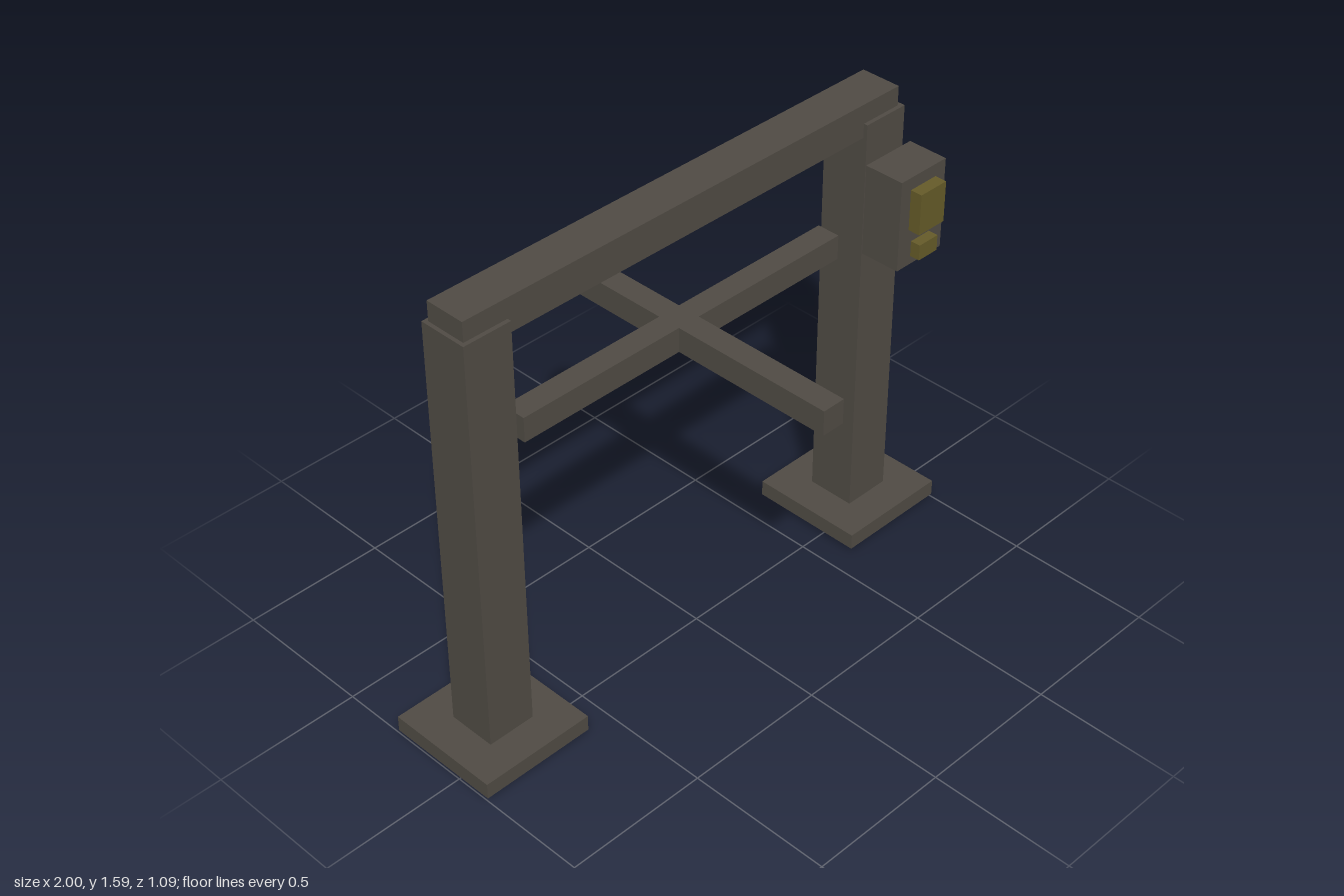
import * as THREE from 'three';

export function createModel() {
  const model = new THREE.Group();
  model.name = 'gateFrame';
  const steel = new THREE.MeshStandardMaterial({ color: 0x504b44 });
  steel.name = 'dark steel';
  const yellow = new THREE.MeshStandardMaterial({ color: 0x655b29 });
  yellow.name = 'dull yellow';

  // Box given by its extents on each axis
  const box = (name, material, [x0, x1], [y0, y1], [z0, z1]) => {
    const mesh = new THREE.Mesh(new THREE.BoxGeometry(x1 - x0, y1 - y0, z1 - z0), material);
    mesh.position.set((x0 + x1) / 2, (y0 + y1) / 2, (z0 + z1) / 2);
    mesh.name = name;
    model.add(mesh);
  };

  // Posts standing through square foot plates
  for (const [side, s] of [['left', 1], ['right', -1]]) {
    const span = (a, b) => (s > 0 ? [a, b] : [-b, -a]);
    box(side + 'Post', steel, span(0.713, 0.882), [0, 1.523], [-0.157, 0.012]);
    box(side + 'FootPlate', steel, span(0.595, 1), [0.011, 0.067], [-0.276, 0.129]);
  }

  // Top beam
  box('topBeam', steel, [-0.869, 0.866], [1.474, 1.59], [-0.144, -0.002]);

  // Cross-shaped turnstile arms, extruded upwards from a plan outline
  const w = 0.041, zc = -0.072, long = 0.651, front = 0.542, back = -0.543;
  const plan = [
    [-w, front], [w, front], [w, zc + w], [long, zc + w], [long, zc - w], [w, zc - w],
    [w, back], [-w, back], [-w, zc - w], [-long, zc - w], [-long, zc + w], [-w, zc + w],
  ].map(([x, z]) => new THREE.Vector2(x, -z));
  const arms = new THREE.Mesh(
    new THREE.ExtrudeGeometry(new THREE.Shape(plan), { depth: 0.086, bevelEnabled: false }), steel);
  arms.rotation.x = -Math.PI / 2;
  arms.position.y = 1.055;
  arms.name = 'crossArms';
  model.add(arms);

  // Control box with its screen and button
  box('controlBox', steel, [0.694, 0.895], [1.084, 1.4], [0.031, 0.173]);
  box('screen', yellow, [0.738, 0.851], [1.214, 1.356], [0.163, 0.215]);
  box('button', yellow, [0.753, 0.836], [1.113, 1.167], [0.163, 0.208]);

  return model;
}
